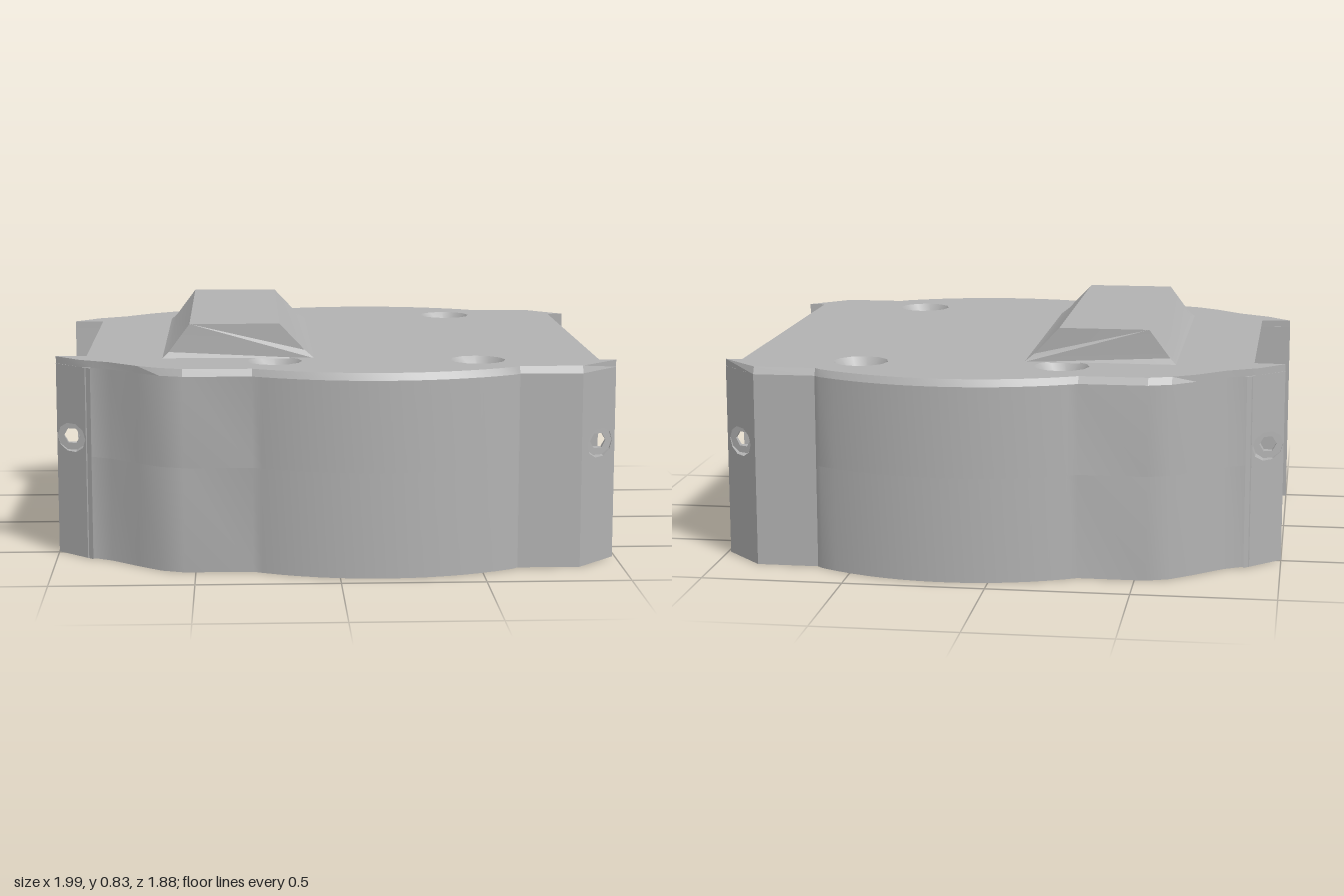
import * as THREE from 'three';
import { toCreasedNormals } from 'three/addons/utils/BufferGeometryUtils.js';

const ROOF = 0.69, TOP = 0.715;   // underside and top of the roof plate
const CX = 0.14, R = 0.84;        // round cavity

const arc = (cx, r, a0, a1, n) => Array.from({ length: n + 1 }, (_, i) => {
  const a = a0 + (a1 - a0) * i / n;
  return [cx + r * Math.cos(a), r * Math.sin(a)];
});
const toShape = pts => new THREE.Shape(pts.map(p => new THREE.Vector2(p[0], p[1])));

function circleHole(x, y, r, n) {
  const path = new THREE.Path();
  path.setFromPoints(arc(0, r, 0, -Math.PI * 2, n).slice(0, n).map(p => new THREE.Vector2(x + p[0], y + p[1])));
  return path;
}

// Extrude a plan (x, z) upward from y0 to y1
function extrudeUp(shape, y0, y1) {
  const g = new THREE.ExtrudeGeometry(shape, { depth: y1 - y0, bevelEnabled: false });
  g.rotateX(-Math.PI / 2);
  g.translate(0, y0, 0);
  return g;
}

// Change every vertex by a rule
function warp(g, rule) {
  const p = g.attributes.position, v = new THREE.Vector3();
  for (let i = 0; i < p.count; i++) {
    rule(v.fromBufferAttribute(p, i));
    p.setXYZ(i, v.x, v.y, v.z);
  }
  g.computeVertexNormals();
  return g;
}

// Wavy outer contour of one long side, from -x to +x
const sideContour = [
  [-0.86, 0.605], [-0.8, 0.64], [-0.7, 0.73], [-0.62, 0.795], [-0.54, 0.825], [-0.3, 0.825],
  ...arc(0.15, 0.94, 2.03, 1.06, 14), [0.63, 0.8], [0.85, 0.8],
];

export function createModel() {
  const model = new THREE.Group();
  const grey = new THREE.MeshStandardMaterial({ color: 0xb2b2b2 });
  grey.name = 'grey plastic';
  const add = (name, g, crease = 0.5) => {
    const m = new THREE.Mesh(toCreasedNormals(g, crease), grey);
    m.name = name;
    model.add(m);
    return m;
  };

  // Side walls, with a slightly narrower opening above the step
  for (const s of [1, -1]) {
    for (const [y0, y1, w, x] of [[0, 0.37, 0.45, 0.85], [0.37, ROOF, 0.42, 0.865]]) {
      const pts = [
        [-0.89, 0.38], [-0.89, 0.6], ...sideContour, [0.85, 0.65], [0.93, 0.65], [x, w],
        ...arc(CX, R, Math.asin(w / R) + 0.02, Math.PI - Math.asin(0.38 / R), 32),
      ].map(p => [p[0], p[1] * s]);
      add('sideWall', extrudeUp(toShape(pts), y0, y1));
    }
  }

  // End wall: flat outside, round inside, arched underneath
  const pos = [], idx = [], N = 20;
  for (let i = 0; i <= N; i++) {
    const z = -0.38 + 0.76 * i / N;
    const inner = CX - Math.sqrt(R * R - z * z);
    const low = Math.max(0, Math.sqrt(0.847 ** 2 - z * z) - 0.757);
    pos.push(-0.89, low, z, inner, low, z, inner, ROOF, z, -0.89, ROOF, z);
    if (i < N) for (let k = 0; k < 4; k++) {
      const a = i * 4 + k, b = i * 4 + (k + 1) % 4;
      idx.push(a, b, b + 4, a, b + 4, a + 4);
    }
  }
  const end = new THREE.BufferGeometry();
  end.setAttribute('position', new THREE.Float32BufferAttribute(pos, 3));
  end.setIndex(idx);
  add('endWall', end.toNonIndexed());

  // Corner flanges with stepped screw holes
  const flanges = [
    { x0: 0.85, x1: 0.99, hx: 0.925, inner: 0.65, outer: x => 0.8 - (x - 0.85) * 1.06 },
    { x0: -1, x1: -0.87, hx: -0.945, inner: 0.48, outer: x => 0.49 + (x + 1) * 0.97 },
  ];
  for (const f of flanges) for (const s of [1, -1]) for (const [t0, t1, r, n] of [[0, 0.45, 0.03, 6], [0.45, 1, 0.053, 10]]) {
    const shape = toShape([[f.x0, 0], [f.x1, 0], [f.x1, ROOF], [f.x0, ROOF]]);
    shape.holes.push(circleHole(f.hx, 0.43, r, n));
    const g = new THREE.ExtrudeGeometry(shape, { depth: 1, bevelEnabled: false });
    if (s < 0) { g.rotateY(Math.PI); g.scale(1, 1, 1); }
    // after the half turn x is reversed, so restore it from the rule below
    warp(g, v => {
      const x = s < 0 ? -v.x : v.x;
      const t = t0 + (t1 - t0) * Math.abs(v.z);
      v.set(x, v.y, s * (f.inner + (f.outer(x) - f.inner) * t));
    });
    if (s < 0) {
      // mirrored piece: reverse corner order
      const p = g.attributes.position, a = new THREE.Vector3(), b = new THREE.Vector3();
      for (let i = 0; i < p.count; i += 3) {
        a.fromBufferAttribute(p, i + 1);
        b.fromBufferAttribute(p, i + 2);
        p.setXYZ(i + 1, b.x, b.y, b.z);
        p.setXYZ(i + 2, a.x, a.y, a.z);
      }
      g.computeVertexNormals();
    }
    add('cornerFlange', g);
  }

  // Roof plate with screw holes, a slot under the hump and a softened rim
  const half = [[-0.89, 0.48], [-1, 0.485], [-0.91, 0.577], ...sideContour, [0.99, 0.65], [0.93, 0.65]];
  const roof = toShape([...half, ...half.map(p => [p[0], -p[1]]).reverse()]);
  const screws = [];
  for (const x of [-0.22, 0.5]) for (const z of [-0.63, 0.63]) screws.push([x, z]);
  for (const [x, z] of screws) roof.holes.push(circleHole(x, z, 0.098, 12));
  roof.holes.push(new THREE.Path([[-0.5, -0.5], [-0.5, 0.5], [-0.2, 0.5], [-0.2, -0.5]].map(p => new THREE.Vector2(...p))));
  add('roof', warp(extrudeUp(roof, ROOF, TOP), v => {
    if (v.y > 0.7 && Math.abs(v.z) > 0.75) v.z -= Math.sign(v.z) * 0.014;
  }), 0.3);

  // Countersunk screw bosses
  const profile = [[0.098, ROOF], [0.098, 0.62], [0.045, 0.62], [0.045, 0.65], [0.098, TOP]];
  for (const [x, z] of screws) {
    const g = new THREE.LatheGeometry(profile.map(p => new THREE.Vector2(...p)).reverse(), 12).toNonIndexed();
    g.translate(x, 0, z);
    const boss = add('screwBoss', g);
    boss.material = bossMaterial(grey);
  }

  // Hollow hump across the roof
  const outer = [[-0.62, 0.712], [-0.595, 0.735], [-0.52, 0.835], [-0.2, 0.835], [-0.11, 0.74], [-0.075, 0.712]];
  const shell = [...outer, [-0.2, 0.712], [-0.2, 0.8], [-0.5, 0.8], [-0.5, 0.712]];
  const along = (pts, z0, z1) => {
    const g = new THREE.ExtrudeGeometry(toShape(pts), { depth: z1 - z0, bevelEnabled: false });
    g.translate(0, 0, z0);
    return g;
  };
  add('hump', along(shell, -0.5, 0.5));
  for (const [z0, z1] of [[0.5, 0.535], [-0.535, -0.5]]) {
    add('humpEnd', warp(along(outer, z0, z1), v => {
      if (v.y < 0.72 && Math.abs(v.z) > 0.51) v.z += Math.sign(v.z) * 0.02;
    }));
  }
  return model;
}

// Bosses are open shells, so they share one two-sided copy of the same grey
let twoSided;
function bossMaterial(base) {
  if (!twoSided) {
    twoSided = base.clone();
    twoSided.name = 'grey plastic two sided';
    twoSided.side = THREE.DoubleSide;
  }
  return twoSided;
}
